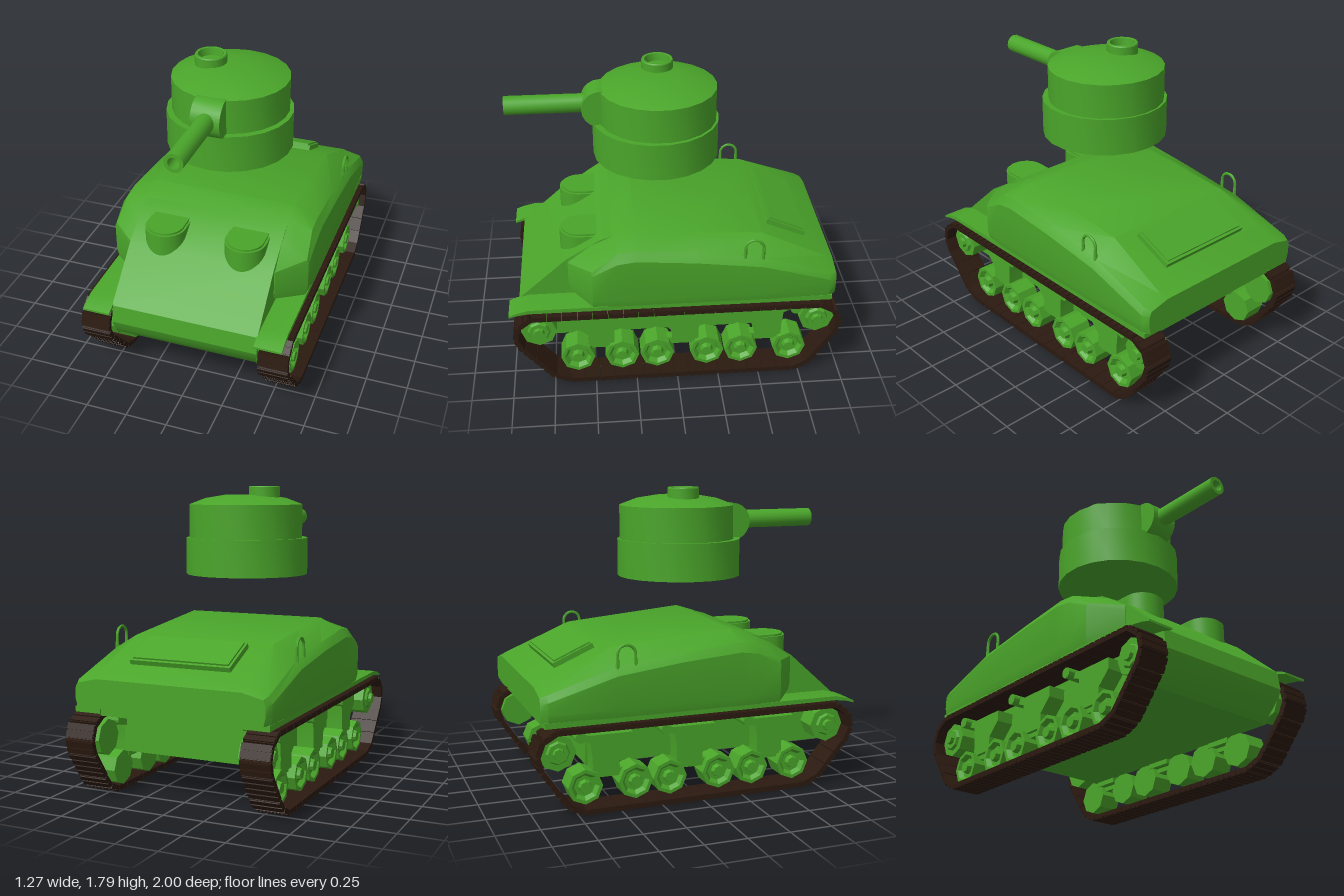
import * as THREE from 'three';
import { toCreasedNormals } from 'three/addons/utils/BufferGeometryUtils.js';

const green = new THREE.MeshStandardMaterial({ color: 0x4aa52a });
const brown = new THREE.MeshStandardMaterial({ color: 0x2b1a10 });

function add(parent, name, geo, pos = [0, 0, 0], rot = [0, 0, 0], mat = green) {
  const m = new THREE.Mesh(toCreasedNormals(geo, 0.5), mat);
  m.name = name;
  m.position.set(...pos);
  m.rotation.set(...rot);
  parent.add(m);
  return m;
}

const vecs = (pts) => pts.map(([a, b]) => new THREE.Vector2(a, b));
const lathe = (pts, n) => new THREE.LatheGeometry(vecs(pts), n);

// Extrudes a (z, y) outline sideways from xa to xb
function sidePlate(pts, xa, xb) {
  const geo = new THREE.ExtrudeGeometry(new THREE.Shape(vecs(pts)), { depth: Math.abs(xb - xa), bevelEnabled: false });
  return geo.rotateY(-Math.PI / 2).translate(Math.max(xa, xb), 0, 0);
}

// Skins mirrored half sections { z, pts: [x, y] from bottom to top }, ordered front to back
function loft(sections) {
  const pos = [], idx = [];
  const n = sections[0].pts.length * 2;
  for (const { z, pts } of sections) {
    const ring = [...pts, ...pts.map(([x, y]) => [-x, y]).reverse()];
    for (const [x, y] of ring) pos.push(x, y, z);
  }
  const last = (sections.length - 1) * n;
  for (let i = 0; i < last; i += n) {
    for (let j = 0; j < n; j++) {
      const a = i + j, b = i + (j + 1) % n;
      idx.push(a, a + n, b + n, a, b + n, b);
    }
  }
  for (let j = 1; j < n - 1; j++) {
    idx.push(0, j, j + 1, last, last + j + 1, last + j);
  }
  const geo = new THREE.BufferGeometry();
  geo.setAttribute('position', new THREE.Float32BufferAttribute(pos, 3));
  geo.setIndex(idx);
  return geo;
}

function buildHull() {
  const hull = new THREE.Group();
  hull.name = 'hull';
  // Central body with sloped front plate and rounded nose
  add(hull, 'centralBody', sidePlate([
    [-0.66, 0.235], [0.83, 0.235], [0.93, 0.345], [0.955, 0.41], [0.94, 0.52], [0.65, 0.78],
    [0.44, 0.91], [0.24, 0.968], [-0.51, 0.895], [-0.92, 0.7], [-0.92, 0.5], [-0.66, 0.46],
  ], -0.445, 0.445));
  // Wide upper armour: z, half width, lower edge, side top, shoulder x and y, roof x and y
  const rows = [
    [0.64, 0.45, 0.57, 0.74, 0.448, 0.76, 0.445, 0.775],
    [0.5, 0.61, 0.54, 0.765, 0.6, 0.79, 0.445, 0.872],
    [0.35, 0.618, 0.54, 0.845, 0.585, 0.9, 0.445, 0.94],
    [0.24, 0.618, 0.54, 0.86, 0.585, 0.912, 0.445, 0.975],
    [-0.12, 0.618, 0.54, 0.83, 0.585, 0.875, 0.445, 0.944],
    [-0.51, 0.618, 0.54, 0.78, 0.585, 0.825, 0.445, 0.91],
    [-0.91, 0.612, 0.535, 0.66, 0.59, 0.7, 0.47, 0.737],
    [-0.95, 0.59, 0.545, 0.65, 0.575, 0.685, 0.45, 0.715],
  ];
  add(hull, 'upperArmour', loft(rows.map(([z, w, lo, side, sx, sy, rx, ry]) => ({
    z, pts: [[w - 0.012, lo], [w, lo + 0.05], [w, side], [sx, sy], [rx, ry]],
  }))));
  // Engine hatch on the rear slope
  const slope = -Math.atan2(0.195, 0.44);
  add(hull, 'engineHatch', new THREE.BoxGeometry(0.63, 0.045, 0.26), [0, 0.845, -0.68], [slope, 0, 0]);
  add(hull, 'engineHatchPanel', new THREE.BoxGeometry(0.6, 0.012, 0.235), [0, 0.871, -0.687], [slope, 0, 0]);

  for (const s of [1, -1]) {
    // Mudguard running over the track
    add(hull, 'mudguard', sidePlate([
      [1, 0.49], [1, 0.503], [0.95, 0.523], [0.88, 0.54], [-0.93, 0.545], [-0.93, 0.512], [0.88, 0.515], [0.95, 0.505],
    ], s * 0.44, s * 0.605));
    // Rounded driver hood with a lip
    for (const [r, y0, y1] of [[0.123, 0.62, 0.885], [0.11, 0.885, 0.897]]) {
      const d = new THREE.Shape();
      d.moveTo(-r, -0.455);
      d.lineTo(-r, -0.56);
      d.absarc(0, -0.56, r, Math.PI, Math.PI * 2, false);
      d.lineTo(r, -0.455);
      const geo = new THREE.ExtrudeGeometry(d, { depth: y1 - y0, bevelEnabled: false, curveSegments: 10 });
      add(hull, 'driverHood', geo.rotateX(-Math.PI / 2), [s * 0.247, y0, 0]);
    }
    // Lifting loop
    add(hull, 'liftingLoop', new THREE.TorusGeometry(0.053, 0.009, 6, 14, Math.PI), [s * 0.583, 0.895, -0.45], [0, Math.PI / 2, 0]);
    for (const dz of [-0.053, 0.053]) {
      add(hull, 'liftingLoopLeg', new THREE.CylinderGeometry(0.009, 0.012, 0.1, 6), [s * 0.583, 0.847, -0.45 + dz]);
    }
  }
  return hull;
}

function buildTurret() {
  const turret = new THREE.Group();
  turret.name = 'turret';
  turret.position.set(-0.012, 0, 0);
  add(turret, 'turretRing', lathe([[0, 1.25], [0.378, 1.25], [0.378, 1.475], [0.34, 1.475]], 22), [0, 0, 0.08]);
  add(turret, 'turretShell', lathe([
    [0.35, 1.45], [0.35, 1.68], [0.25, 1.718], [0.13, 1.738], [0, 1.74],
  ], 22), [0, 0, 0.065]);
  add(turret, 'commanderHatch', lathe([
    [0.095, 1.71], [0.095, 1.785], [0.09, 1.792], [0.076, 1.79], [0.07, 1.745], [0, 1.745],
  ], 20), [-0.126, 0, 0.06]);
  // Gun with rounded mantlet and hollow muzzle
  add(turret, 'mantlet', new THREE.CylinderGeometry(0.115, 0.115, 0.175, 20), [0, 1.572, 0.405], [0, 0, Math.PI / 2]);
  add(turret, 'gunBarrel', lathe([
    [0.056, 0], [0.056, 0.53], [0.034, 0.53], [0.034, 0.38], [0, 0.38],
  ], 16), [0, 1.58, 0.44], [Math.PI / 2, 0, 0]);
  return turret;
}

function buildRunningGear(s) {
  const gear = new THREE.Group();
  gear.name = s > 0 ? 'leftRunningGear' : 'rightRunningGear';
  const axle = [0, 0, -s * Math.PI / 2];

  // Octagonal road wheels, dished around the hub
  const wheel = lathe([
    [0, 0], [0.103, 0], [0.103, 0.14], [0.082, 0.14], [0.062, 0.115], [0.04, 0.115], [0.032, 0.145], [0, 0.145],
  ], 8);
  for (const z of [0.605, 0.335, 0.12, -0.185, -0.395, -0.695]) {
    add(gear, 'roadWheel', wheel, [s * 0.435, 0.145, z], axle);
  }
  // Drive wheel at the front and idler at the rear
  const endWheel = lathe([
    [0, 0], [0.107, 0], [0.107, 0.14], [0.07, 0.14], [0.06, 0.155], [0.035, 0.155], [0.03, 0.175], [0, 0.175],
  ], 8);
  add(gear, 'driveWheel', endWheel, [s * 0.435, 0.362, 0.83], axle);
  add(gear, 'idlerWheel', endWheel, [s * 0.435, 0.362, -0.853], axle);

  // Suspension brackets, each with an arm and a return roller
  for (const z of [0.47, -0.045, -0.555]) {
    add(gear, 'suspensionBracket', sidePlate([
      [z + 0.15, 0.435], [z + 0.15, 0.37], [z + 0.07, 0.29], [z + 0.07, 0.205], [z - 0.09, 0.205],
      [z - 0.09, 0.3], [z - 0.1, 0.39], [z - 0.15, 0.41], [z - 0.17, 0.445], [z - 0.1, 0.435],
    ], s * 0.43, s * 0.55));
    add(gear, 'suspensionBeam', new THREE.BoxGeometry(0.06, 0.045, 0.26), [s * 0.5, 0.2, z]);
    add(gear, 'returnRoller', new THREE.CylinderGeometry(0.032, 0.032, 0.16, 12), [s * 0.51, 0.437, z - 0.167], axle);
  }

  // Track links laid along a closed loop
  const loop = [
    [0.87, 0.489], [0.945, 0.43], [0.965, 0.36], [0.94, 0.285], [0.75, 0.062], [0.65, 0.02],
    [-0.725, 0.02], [-0.81, 0.07], [-0.955, 0.28], [-0.978, 0.355], [-0.95, 0.44], [-0.865, 0.489],
  ].map(([z, y]) => new THREE.Vector3(0, y, z));
  const path = new THREE.CurvePath();
  loop.forEach((p, i) => path.add(new THREE.LineCurve3(p, loop[(i + 1) % loop.length])));
  const count = 48;
  const track = new THREE.Group();
  track.name = 'track';
  const pad = new THREE.BoxGeometry(0.18, 0.026, 0.088);
  const rib = new THREE.BoxGeometry(0.178, 0.012, 0.034);
  for (let i = 0; i < count; i++) {
    const link = new THREE.Group();
    link.name = 'trackLink';
    const p = path.getPointAt((i + 0.5) / count);
    const t = path.getPointAt((i + 0.95) / count).sub(path.getPointAt((i + 0.05) / count));
    link.position.set(s * 0.546, p.y, p.z);
    link.rotation.x = Math.atan2(-t.y, t.z);
    add(link, 'linkPad', pad, [0, 0, 0], [0, 0, 0], brown);
    for (const dz of [-0.022, 0.022]) add(link, 'linkRib', rib, [0, -0.014, dz], [0, 0, 0], brown);
    // Ribs belong on the outside of the loop
    const outward = new THREE.Vector3(0, -1, 0).applyEuler(link.rotation);
    if (outward.y * (p.y - 0.25) + outward.z * p.z * 0.25 < 0) link.rotateZ(Math.PI);
    track.add(link);
  }
  gear.add(track);
  return gear;
}

export function createModel() {
  const model = new THREE.Group();
  model.name = 'tank';
  model.add(buildHull(), buildTurret(), buildRunningGear(1), buildRunningGear(-1));
  return model;
}
